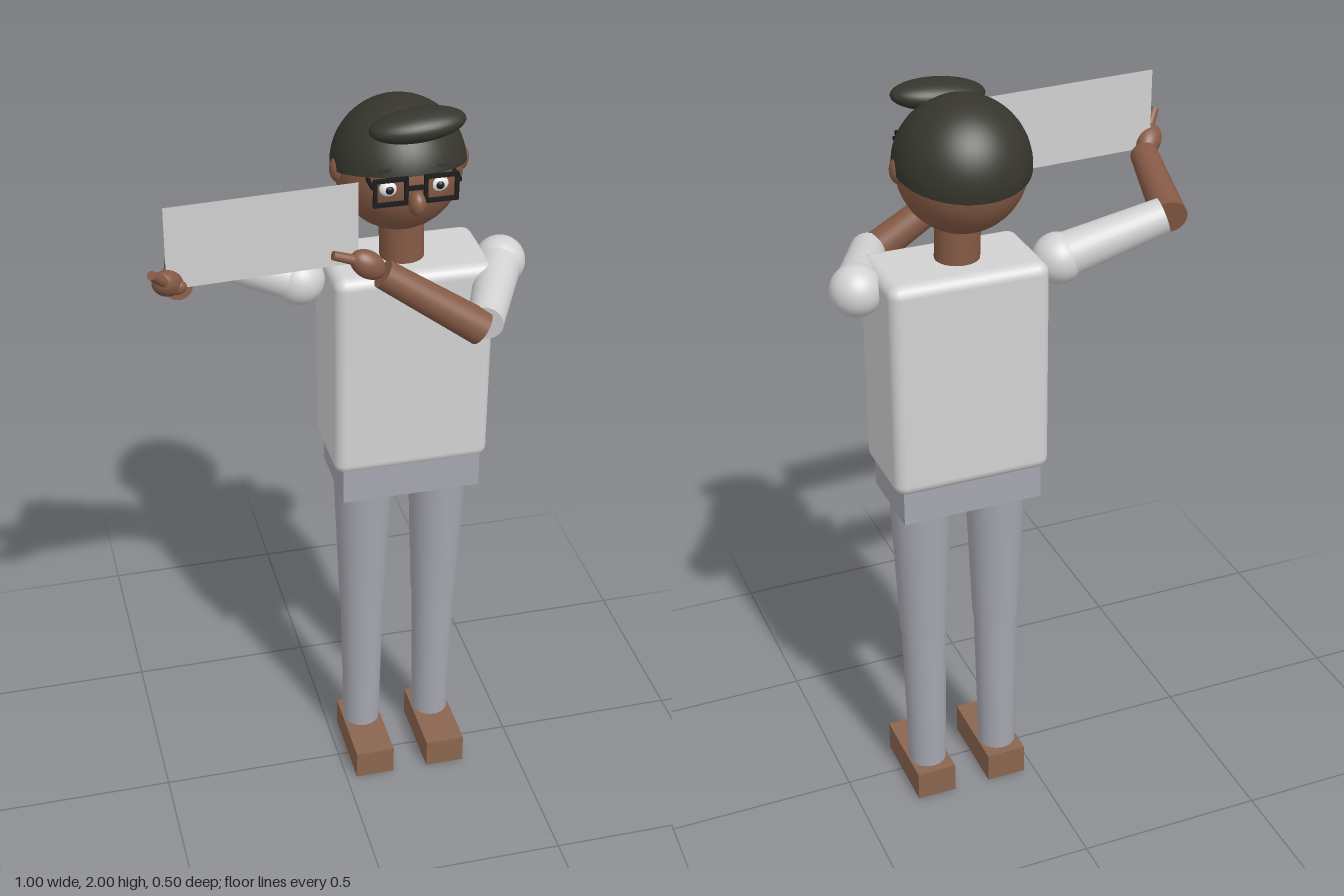
import * as THREE from 'three';
import { RoundedBoxGeometry } from 'three/addons/geometries/RoundedBoxGeometry.js';

const mat = (name, color, side = THREE.FrontSide) => {
  const m = new THREE.MeshStandardMaterial({ color, side });
  m.name = name;
  return m;
};

export function createModel() {
  const shirt = mat('shirt grey', 0xd2d2d2);
  const panelGrey = mat('panel grey', 0xd0d0d0, THREE.DoubleSide);
  const trousers = mat('trouser grey', 0xa6a6b0);
  const skin = mat('skin brown', 0x855a45);
  const hair = mat('hair black', 0x36362e, THREE.DoubleSide);
  const shoe = mat('shoe brown', 0x8a6650);
  const frame = mat('frame black', 0x1c1c1e);
  const white = mat('eye white', 0xf0f0f0);
  const lip = mat('lip brown', 0x9a5a4a);

  const model = new THREE.Group();
  model.name = 'figure';

  const add = (name, geometry, material, pos = [0, 0, 0], parent = model) => {
    const m = new THREE.Mesh(geometry, material);
    m.name = name;
    m.position.set(...pos);
    parent.add(m);
    return m;
  };
  const box = (name, size, material, pos, parent) =>
    add(name, new THREE.BoxGeometry(...size), material, pos, parent);
  const ball = (name, radii, material, pos, parent) => {
    const m = add(name, new THREE.SphereGeometry(1, 32, 20), material, pos, parent);
    m.scale.set(...radii);
    return m;
  };
  // Tapered cylinder between two points
  const limb = (name, a, b, ra, rb, material) => {
    const p = new THREE.Vector3(...a), q = new THREE.Vector3(...b);
    const d = q.clone().sub(p);
    const m = add(name, new THREE.CylinderGeometry(rb, ra, d.length(), 28), material);
    m.position.copy(p).addScaledVector(d, 0.5);
    m.quaternion.setFromUnitVectors(new THREE.Vector3(0, 1, 0), d.normalize());
    return m;
  };

  // Body
  add('torso', new RoundedBoxGeometry(0.41, 0.57, 0.243, 4, 0.03), shirt, [0.186, 1.295, -0.071]);
  box('hips', [0.368, 0.1, 0.222], trousers, [0.186, 0.975, -0.066]);
  limb('neck', [0.178, 1.56, -0.066], [0.174, 1.7, -0.068], 0.056, 0.056, skin);

  // Legs and shoes
  for (const x of [0.083, 0.289]) {
    limb('upperLeg', [x, 0.94, -0.066], [x, 0.52, -0.066], 0.079, 0.063, trousers);
    limb('lowerLeg', [x, 0.53, -0.066], [x, 0.08, -0.066], 0.06, 0.051, trousers);
    box('shoe', [0.108, 0.083, 0.243], shoe, [x, 0.0415, -0.018]);
  }

  // Arms, hands and fingers
  const arms = [
    { shoulder: [-0.083, 1.535, -0.078], elbow: [-0.345, 1.623, -0.124], foreStart: [-0.358, 1.62, -0.135],
      wrist: [-0.418, 1.675, 0.138], hand: [-0.445, 1.7, 0.168], finger: [-0.452, 1.712, 0.19],
      tip: [-0.489, 1.757, 0.228], thumb: [-0.425, 1.69, 0.175] },
    { shoulder: [0.432, 1.533, -0.058], elbow: [0.315, 1.51, 0.2], foreStart: [0.305, 1.5, 0.203],
      wrist: [0.065, 1.663, 0.174], hand: [0.028, 1.692, 0.174], finger: [0.005, 1.706, 0.177],
      tip: [-0.058, 1.73, 0.181], thumb: [0.034, 1.685, 0.139] },
  ];
  for (const a of arms) {
    ball('shoulder', [0.065, 0.065, 0.065], shirt, a.shoulder);
    limb('sleeve', a.shoulder, a.elbow, 0.058, 0.045, shirt);
    limb('forearm', a.foreStart, a.wrist, 0.044, 0.036, skin);
    const hand = ball('hand', [0.033, 0.048, 0.03], skin, a.hand);
    const dir = new THREE.Vector3(...a.hand).sub(new THREE.Vector3(...a.wrist)).normalize();
    hand.quaternion.setFromUnitVectors(new THREE.Vector3(0, 1, 0), dir);
    limb('finger', a.finger, a.tip, 0.013, 0.011, skin);
    ball('thumb', [0.024, 0.018, 0.014], skin, a.thumb);
  }

  // Head with tilted hair cap and quiff
  const head = new THREE.Group();
  head.name = 'head';
  head.position.set(0.168, 1.822, -0.083);
  model.add(head);
  ball('skull', [0.159, 0.164, 0.159], skin, [0, 0, 0], head);
  const cap = add('hairCap', new THREE.SphereGeometry(0.167, 40, 20, 0, Math.PI * 2, 0, Math.PI / 2), hair, [0, 0, 0], head);
  cap.rotation.x = -0.22;
  ball('quiff', [0.118, 0.037, 0.06], hair, [0.017, 0.14, 0.105], head).rotation.z = 0.08;

  // Face
  for (const s of [-1, 1]) {
    const x = s * 0.062;
    ball('ear', [0.02, 0.032, 0.027], skin, [s * 0.154, 0.003, 0.012], head);
    ball('eye', [0.023, 0.02, 0.014], white, [x, 0.003, 0.143], head);
    ball('pupil', [0.01, 0.01, 0.006], frame, [x, 0.003, 0.155], head);
    box('eyebrow', [0.045, 0.008, 0.01], hair, [x, 0.05, 0.143], head).rotation.z = -s * 0.1;
    // Spectacle rim built from four bars, and a temple
    for (const t of [-1, 1]) {
      box('rimBar', [0.084, 0.009, 0.01], frame, [x, 0.003 + t * 0.031, 0.165], head);
      box('rimPost', [0.009, 0.07, 0.01], frame, [x + t * 0.038, 0.003, 0.165], head);
    }
    box('temple', [0.008, 0.009, 0.08], frame, [s * 0.106, 0.02, 0.13], head);
  }
  box('bridge', [0.044, 0.009, 0.01], frame, [0, 0.008, 0.165], head);
  ball('nose', [0.021, 0.031, 0.026], skin, [0.004, -0.035, 0.163], head);
  const smile = add('smile', new THREE.TorusGeometry(0.06, 0.006, 8, 20, 1.5), lip, [0.002, -0.042, 0.128], head);
  smile.rotation.set(0.3, 0, -Math.PI / 2 - 0.75);

  // Upright panel held between the hands
  const panel = add('panel', new THREE.PlaneGeometry(0.461, 0.208), panelGrey, [-0.217, 1.785, 0.153]);
  panel.rotation.y = 0.055;

  return model;
}
